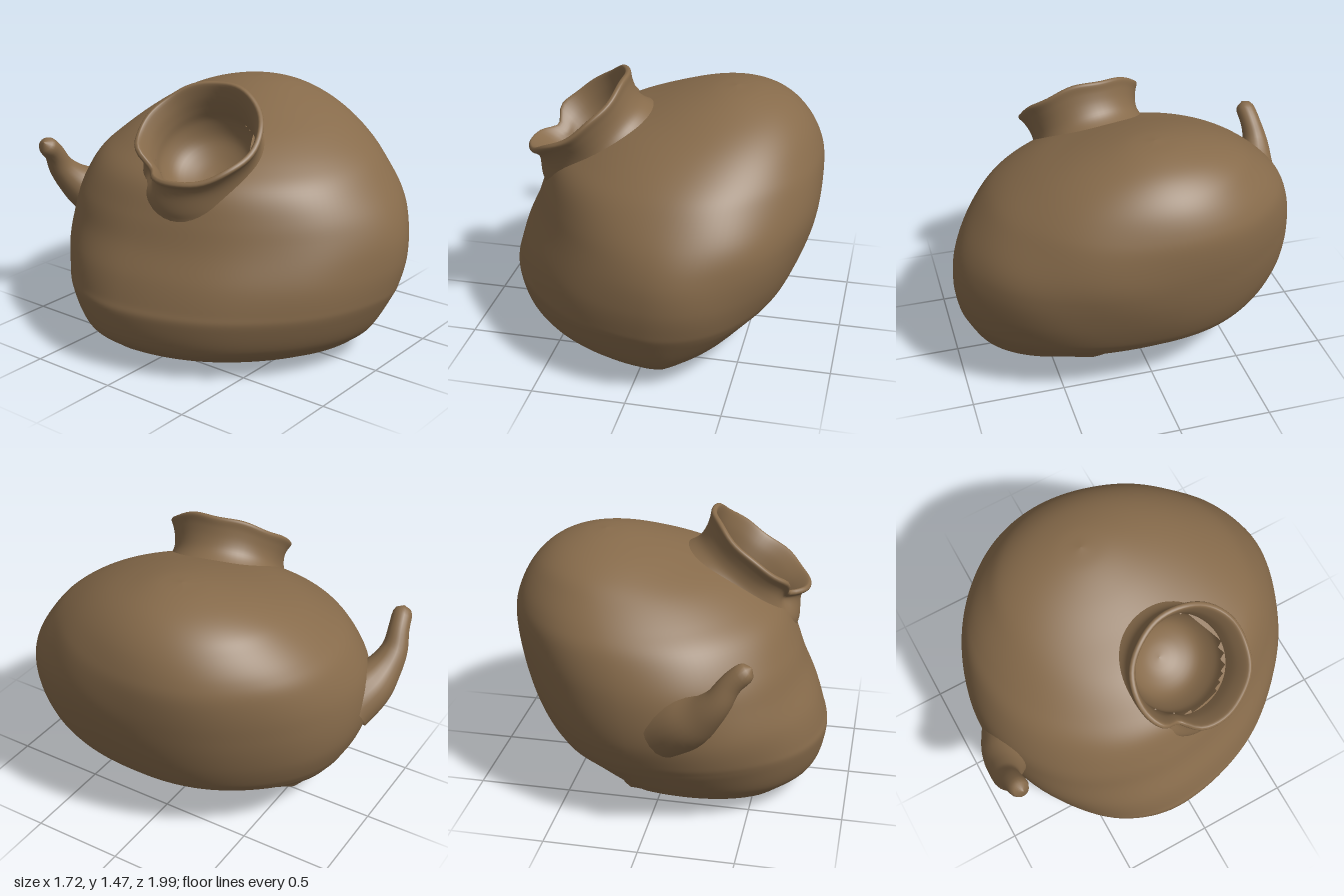
import * as THREE from 'three';
import { mergeVertices } from 'three/addons/utils/BufferGeometryUtils.js';

const clay = new THREE.MeshStandardMaterial({ color: 0x876b4b, side: THREE.DoubleSide });
clay.name = 'brown clay';

const NECK_CENTRE = new THREE.Vector3(-0.445, 1.265, 0.16);
const NECK_AXIS = new THREE.Vector3(-0.58, 0.78, 0.15).normalize();

// Heights of the vessel wall: [y, xMin, xMax, zMax, zMin, centre x]
const LEVELS = [
  [0.07, -0.71, 0.47, 0.77, -0.66, 0.02],
  [0.17, -0.82, 0.56, 0.875, -0.72, 0.03],
  [0.34, -0.863, 0.68, 0.96, -0.80, 0.05],
  [0.42, -0.85, 0.73, 0.985, -0.84, 0.06],
  [0.55, -0.81, 0.785, 1.0, -0.88, 0.08],
  [0.70, -0.74, 0.83, 0.985, -0.89, 0.1],
  [0.85, -0.685, 0.855, 0.93, -0.87, 0.12],
  [1.00, -0.61, 0.855, 0.83, -0.81, 0.15],
  [1.10, -0.49, 0.83, 0.73, -0.73, 0.2],
  [1.20, -0.32, 0.78, 0.58, -0.62, 0.26],
  [1.28, -0.10, 0.71, 0.42, -0.51, 0.32],
  [1.34, 0.08, 0.62, 0.26, -0.37, 0.35],
  [1.38, 0.24, 0.50, 0.11, -0.20, 0.37],
  [1.395, 0.37, 0.37, -0.04, -0.04, 0.37],
];

// Corners of the broken hole in the base, in order of angle
const HOLE = [
  [-0.46, 0.01, -0.2], [-0.42, 0.03, -0.38], [-0.12, 0.1, -0.57], [0.13, 0.14, -0.6],
  [0.42, 0.22, -0.35], [0.38, 0.085, 0.3], [0.15, 0.01, 0.56], [-0.17, 0.035, 0.4],
].map((p) => new THREE.Vector3(...p));

function holePoint(a) {
  const turn = (v) => ((v % (2 * Math.PI)) + 2 * Math.PI) % (2 * Math.PI);
  for (let i = 0; i < HOLE.length; i++) {
    const p = HOLE[i], q = HOLE[(i + 1) % HOLE.length];
    const start = Math.atan2(p.z, p.x);
    const span = turn(Math.atan2(q.z, q.x) - start);
    const off = turn(a - start);
    if (off <= span) return p.clone().lerp(q, off / span);
  }
  return HOLE[0].clone();
}

// Smooth surface through a grid of rings; faces at points where isOpen is true are left out
function skin(rings, isOpen = () => false) {
  const n = rings[0].length, pos = [], index = [];
  rings.forEach((r) => r.forEach((p) => pos.push(p.x, p.y, p.z)));
  for (let k = 0; k < rings.length - 1; k++) {
    for (let i = 0; i < n; i++) {
      if (isOpen(rings[k][i])) continue;
      const a = k * n + i, b = k * n + (i + 1) % n;
      index.push(a, a + n, b, b, a + n, b + n);
    }
  }
  const g = new THREE.BufferGeometry();
  g.setAttribute('position', new THREE.Float32BufferAttribute(pos, 3));
  g.setIndex(index);
  g.computeVertexNormals();
  return g;
}

// The part of the wall under the neck is open
function insideThroat(p) {
  const d = p.clone().sub(NECK_CENTRE);
  const h = d.dot(NECK_AXIS);
  return h > -0.5 && d.addScaledVector(NECK_AXIS, -h).length() < 0.27;
}

function bodyGeometry() {
  const N = 120, M = 90, cz = -0.04;
  const curveA = new THREE.CatmullRomCurve3(LEVELS.map((l) => new THREE.Vector3(l[0], l[1], l[2])), false, 'catmullrom');
  const curveB = new THREE.CatmullRomCurve3(LEVELS.map((l) => new THREE.Vector3(l[3], l[4], l[5])), false, 'catmullrom');
  const angles = Array.from({ length: N }, (_, i) => (i / N) * 2 * Math.PI);
  const rings = [angles.map(holePoint)];
  for (let k = 0; k <= M; k++) {
    const { x: y, y: xMin, z: xMax } = curveA.getPoint(k / M);
    const { x: zMax, y: zMin, z: cx } = curveB.getPoint(k / M);
    // the lower wall is fuller along one diagonal
    const skew = 0.045 * (1 - THREE.MathUtils.smoothstep(y, 0.75, 1.15));
    rings.push(angles.map((a) => {
      const c = Math.cos(a), s = Math.sin(a);
      const r = 1 + skew * Math.sin(2 * a);
      const x = cx + r * c * (c > 0 ? xMax - cx : cx - xMin);
      const z = cz + r * s * (s > 0 ? zMax - cz : cz - zMin);
      const py = y < 0.34 ? THREE.MathUtils.lerp(holePoint(a).y, 0.34, y / 0.34) : y;
      // gentle hand-made unevenness, fading at the crown
      const bump = 1 + 0.004 * Math.sin(9 * x + 4 * y) * Math.sin(8 * z - 5 * y) * Math.min(1, (1.4 - y) * 3);
      return new THREE.Vector3(x * bump, py, z * bump);
    }));
  }
  return skin(rings, insideThroat);
}

// Flared neck, with a lip, inner wall and closed throat; the lip has one chip
function neckGeometry() {
  const profile = [
    [0.44, -0.345], [0.37, -0.275], [0.325, -0.215], [0.303, -0.16], [0.306, -0.1], [0.325, -0.04],
    [0.345, 0], [0.335, 0.016], [0.315, 0.01], [0.285, -0.06], [0.268, -0.14], [0.255, -0.22],
    [0.2, -0.31], [0.1, -0.36], [0.001, -0.375],
  ].map((p) => new THREE.Vector2(...p));
  let g = new THREE.LatheGeometry(new THREE.SplineCurve(profile).getPoints(60), 64);
  const p = g.attributes.position;
  for (let i = 0; i < p.count; i++) {
    const x = p.getX(i), y = p.getY(i), z = p.getZ(i);
    const a = Math.atan2(z, x), r0 = Math.hypot(x, z);
    const lip = THREE.MathUtils.smoothstep(y, -0.2, 0.01);
    const chip = Math.exp(-(((a + 2.6) / 0.24) ** 2));
    const back = Math.exp(-(((a + 1.7) / 0.6) ** 2));
    const wave = 0.008 * Math.sin(3 * a + 1) + 0.005 * Math.sin(7 * a);
    // the outer wall spreads into the shoulder on the low side
    const spread = r0 > 0.296 ? 0.1 * THREE.MathUtils.smoothstep(-y, 0.02, 0.18) * Math.max(0, -Math.cos(a)) ** 2 : 0;
    const r = (1 - 0.12 * lip * chip) * (1 + spread / Math.max(r0, 0.1));
    p.setXYZ(i, x * r, y + lip * (wave - 0.07 * chip - 0.03 * back), z * r);
  }
  g.deleteAttribute('uv');
  g.deleteAttribute('normal');
  g = mergeVertices(g, 1e-4);
  g.computeVertexNormals();
  return g;
}

// Tapered stub following a curved path, rounded at its tip
function stubGeometry() {
  const path = new THREE.CatmullRomCurve3([
    [-0.1, 0.62, -0.775], [-0.27, 0.74, -0.865], [-0.38, 0.86, -0.905],
    [-0.45, 0.97, -0.895], [-0.545, 1.055, -0.875],
  ].map((p) => new THREE.Vector3(...p)));
  const radii = new THREE.SplineCurve([[0, 0.15], [1, 0.135], [2, 0.09], [3, 0.06], [4, 0.055]]
    .map((p) => new THREE.Vector2(...p)));
  const steps = 28, frames = path.computeFrenetFrames(steps);
  const rings = [];
  for (let k = 0; k <= steps; k++) {
    const t = k / steps, c = path.getPointAt(t);
    const round = Math.sqrt(Math.max(0, 1 - Math.max(0, (t - 0.9) / 0.1) ** 2));
    const r = radii.getPoint(t).y * round;
    rings.push(Array.from({ length: 20 }, (_, i) => {
      const a = (-i / 20) * 2 * Math.PI;
      return c.clone()
        .addScaledVector(frames.normals[k], -r * Math.cos(a))
        .addScaledVector(frames.binormals[k], r * Math.sin(a));
    }));
  }
  return skin(rings);
}

export function createModel() {
  const model = new THREE.Group();
  model.name = 'clayJug';
  const add = (name, geometry) => {
    const mesh = new THREE.Mesh(geometry, clay);
    mesh.name = name;
    model.add(mesh);
    return mesh;
  };

  add('body', bodyGeometry());

  const neck = add('neck', neckGeometry());
  neck.position.copy(NECK_CENTRE);
  neck.quaternion.setFromUnitVectors(new THREE.Vector3(0, 1, 0), NECK_AXIS);

  add('handleStub', stubGeometry());
  return model;
}
